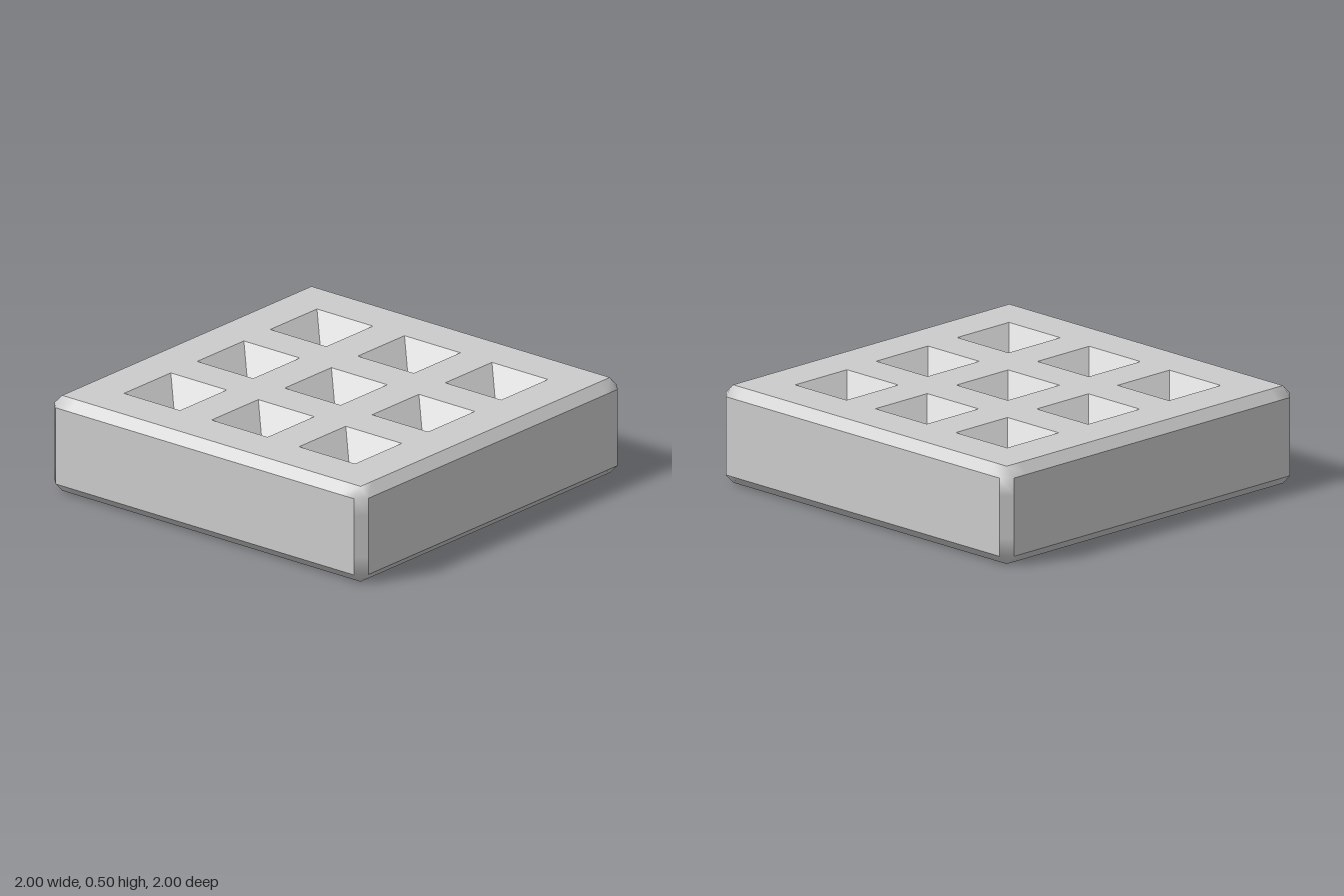
import * as THREE from 'three';
import { mergeVertices } from 'three/addons/utils/BufferGeometryUtils.js';

const HALF = [1, 0.25, 1];  // half sizes of the slab
const BEVEL = 0.05;
const PIT = 0.178;          // half width of a pit
const PIT_DEPTH = 0.18;
const PIT_STEP = 0.557;
const SIGNS = [-1, 1];

// Adds a triangle, turned so that it faces along the given direction
function addTriangle(out, a, b, c, facing) {
  const [A, B, C] = [a, b, c].map((p) => new THREE.Vector3(...p));
  const normal = B.clone().sub(A).cross(C.clone().sub(A));
  const ordered = normal.dot(new THREE.Vector3(...facing)) > 0 ? [a, b, c] : [a, c, b];
  ordered.forEach((p) => out.push(...p));
}

function toGeometry(points) {
  const geometry = new THREE.BufferGeometry();
  geometry.setAttribute('position', new THREE.Float32BufferAttribute(points, 3));
  return geometry;
}

// Twelve chamfer strips and eight corner triangles, smoothed together
function bevelGeometry() {
  const points = [];
  for (let axis = 0; axis < 3; axis++) {
    const u = (axis + 1) % 3, v = (axis + 2) % 3;
    const end = HALF[axis] - BEVEL;
    const stations = [-end, -end + 0.09, end - 0.09, end];
    for (const su of SIGNS) for (const sv of SIGNS) {
      const at = (t, insetU, insetV) => {
        const p = [0, 0, 0];
        p[axis] = t;
        p[u] = su * (HALF[u] - insetU);
        p[v] = sv * (HALF[v] - insetV);
        return p;
      };
      const facing = [0, 0, 0];
      facing[u] = su;
      facing[v] = sv;
      for (let i = 0; i < 3; i++) {
        const [s, t] = [stations[i], stations[i + 1]];
        const a = at(s, BEVEL, 0), b = at(t, BEVEL, 0);
        const c = at(t, 0, BEVEL), d = at(s, 0, BEVEL);
        addTriangle(points, a, b, c, facing);
        addTriangle(points, a, c, d, facing);
      }
    }
  }
  for (const x of SIGNS) for (const y of SIGNS) for (const z of SIGNS) {
    const sign = [x, y, z];
    const corner = [0, 1, 2].map((k) =>
      sign.map((s, i) => s * (HALF[i] - (i === k ? 0 : BEVEL))));
    addTriangle(points, ...corner, sign);
  }
  const geometry = mergeVertices(toGeometry(points), 1e-4);
  geometry.computeVertexNormals();
  return geometry;
}

function square(path, x, y, half) {
  path.moveTo(x - half, y - half);
  path.lineTo(x + half, y - half);
  path.lineTo(x + half, y + half);
  path.lineTo(x - half, y + half);
  path.closePath();
  return path;
}

// Inverted pyramid, seen from inside
function pitGeometry() {
  const rim = [[-PIT, 0, -PIT], [PIT, 0, -PIT], [PIT, 0, PIT], [-PIT, 0, PIT]];
  const points = [];
  rim.forEach((p, i) => addTriangle(points, p, rim[(i + 1) % 4], [0, -PIT_DEPTH, 0], [0, 1, 0]));
  const geometry = toGeometry(points);
  geometry.computeVertexNormals();
  return geometry;
}

export function createModel() {
  const group = new THREE.Group();
  const grey = new THREE.MeshStandardMaterial({ color: 0xcccccc });
  grey.name = 'grey';
  const add = (name, geometry) => {
    const mesh = new THREE.Mesh(geometry, grey);
    mesh.name = name;
    group.add(mesh);
    return mesh;
  };
  const [hx, hy, hz] = HALF;
  const width = 2 * (hx - BEVEL), height = 2 * (hy - BEVEL);

  // Chamfered frame
  add('bevels', bevelGeometry()).position.y = hy;

  // Top with square openings, and the pits below them
  const top = square(new THREE.Shape(), 0, 0, hx - BEVEL);
  const pit = pitGeometry();
  for (let i = -1; i <= 1; i++) for (let j = -1; j <= 1; j++) {
    top.holes.push(square(new THREE.Path(), i * PIT_STEP, j * PIT_STEP, PIT));
    add('pit', pit).position.set(i * PIT_STEP, 2 * hy, j * PIT_STEP);
  }
  add('top', new THREE.ShapeGeometry(top).rotateX(-Math.PI / 2)).position.y = 2 * hy;

  // Bottom and the four sides
  add('bottom', new THREE.PlaneGeometry(width, width).rotateX(Math.PI / 2));
  ['frontSide', 'leftSide', 'backSide', 'rightSide'].forEach((name, i) => {
    const side = new THREE.PlaneGeometry(width, height).translate(0, hy, hz);
    add(name, side.rotateY(i * Math.PI / 2));
  });
  return group;
}
